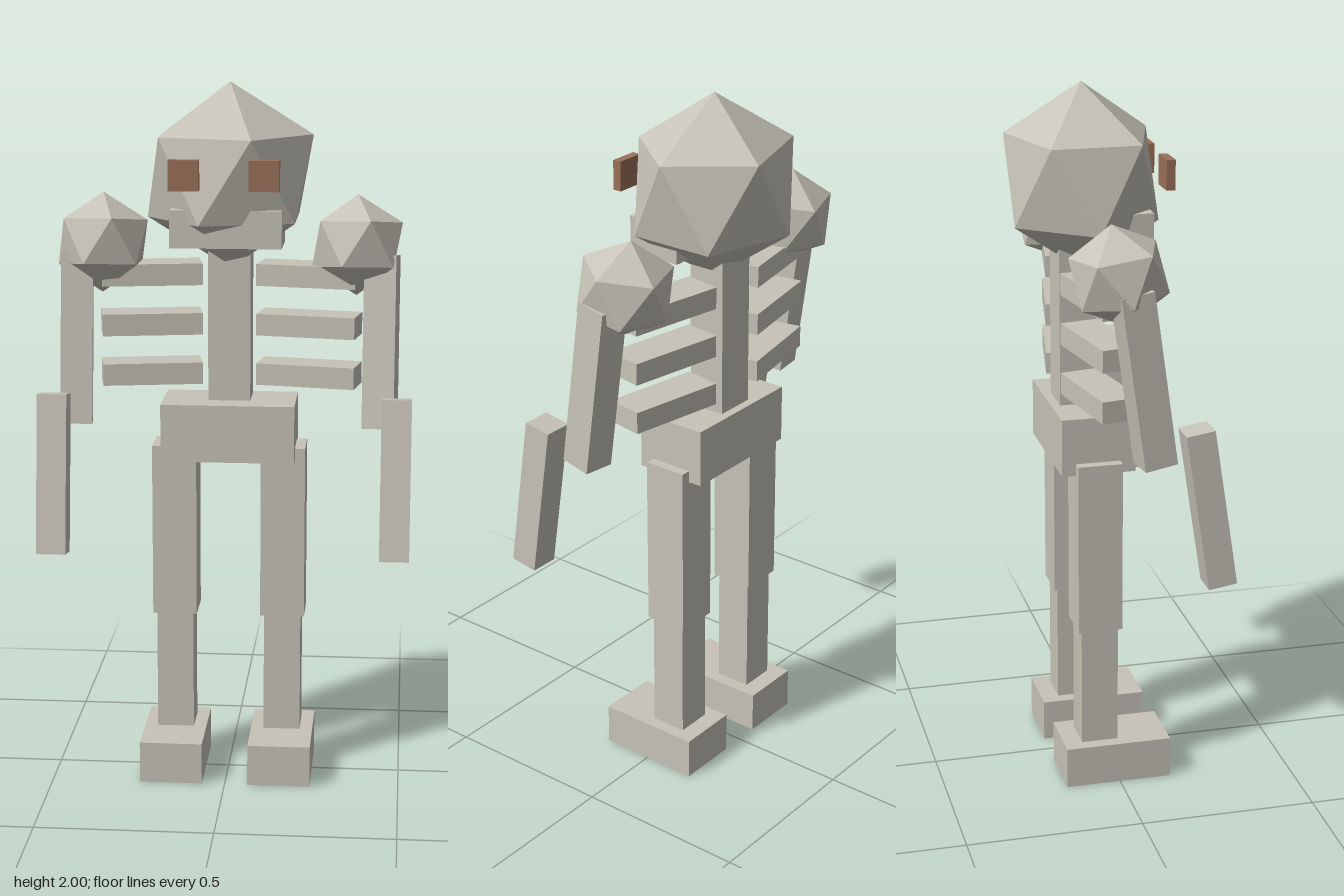
import * as THREE from 'three';
import { ConvexGeometry } from 'three/addons/geometries/ConvexGeometry.js';

const bone = new THREE.MeshStandardMaterial({ name: 'bone', color: 0xc7c3b8, flatShading: true });
const eyeBrown = new THREE.MeshStandardMaterial({ name: 'eyeBrown', color: 0x9a7058, flatShading: true });

// Icosahedron standing on a vertex, with an upper ring vertex towards +x
function poleIcosahedron(rx, ry, rz) {
  const h = Math.sqrt(0.2), r = 2 * h;
  const points = [new THREE.Vector3(0, ry, 0), new THREE.Vector3(0, -ry, 0)];
  for (let i = 0; i < 10; i++) {
    const a = i * Math.PI / 5;
    const up = i % 2 === 0 ? 1 : -1;
    points.push(new THREE.Vector3(rx * r * Math.cos(a), up * ry * h, rz * r * Math.sin(a)));
  }
  return new ConvexGeometry(points);
}

export function createModel() {
  const model = new THREE.Group();
  model.name = 'skeleton';

  function add(name, geometry, position, rotation = [0, 0, 0], material = bone) {
    const mesh = new THREE.Mesh(geometry, material);
    mesh.name = name;
    mesh.position.set(...position);
    mesh.rotation.set(...rotation);
    model.add(mesh);
    return mesh;
  }
  const box = (name, size, position, rotation, material) =>
    add(name, new THREE.BoxGeometry(...size), position, rotation, material);

  // Head, jaw and trunk
  add('head', poleIcosahedron(0.261, 0.262, 0.237), [0, 1.738, -0.054]);
  box('jaw', [0.31, 0.105, 0.16], [0, 1.608, 0.033]);
  box('spine', [0.12, 0.48, 0.11], [0, 1.34, -0.075]);
  box('pelvis', [0.38, 0.165, 0.21], [0, 1.018, -0.05]);

  for (const s of [1, -1]) {
    const side = s > 0 ? 'left' : 'right';
    box(side + 'Eye', [0.084, 0.084, 0.025], [s * 0.11, 1.762, 0.16], [0, 0, 0], eyeBrown);

    // Ribs sweep forward at their outer ends
    [1.462, 1.32, 1.177].forEach((y, i) =>
      box(side + 'Rib' + (i + 1), [0.284, 0.062, 0.11], [s * 0.225, y, -0.056], [0, -s * 0.18, 0]));

    // Arms lean forward towards the hands
    add(side + 'Shoulder', poleIcosahedron(0.141, 0.141, 0.141), [s * 0.359, 1.55, -0.037], [-0.15, 0, 0]);
    box(side + 'UpperArm', [0.09, 0.485, 0.093], [s * 0.43, 1.284, 0.014], [-0.14, -s * 0.12, 0]);
    box(side + 'Forearm', [0.083, 0.448, 0.08], [s * 0.478, 0.927, 0.181], [-0.153, 0, 0]);

    // Legs
    box(side + 'Thigh', [0.127, 0.5, 0.127], [s * 0.156, 0.72, -0.052]);
    box(side + 'Shin', [0.106, 0.36, 0.106], [s * 0.156, 0.295, -0.052]);
    box(side + 'Foot', [0.18, 0.12, 0.306], [s * 0.156, 0.06, -0.004]);
  }
  return model;
}
